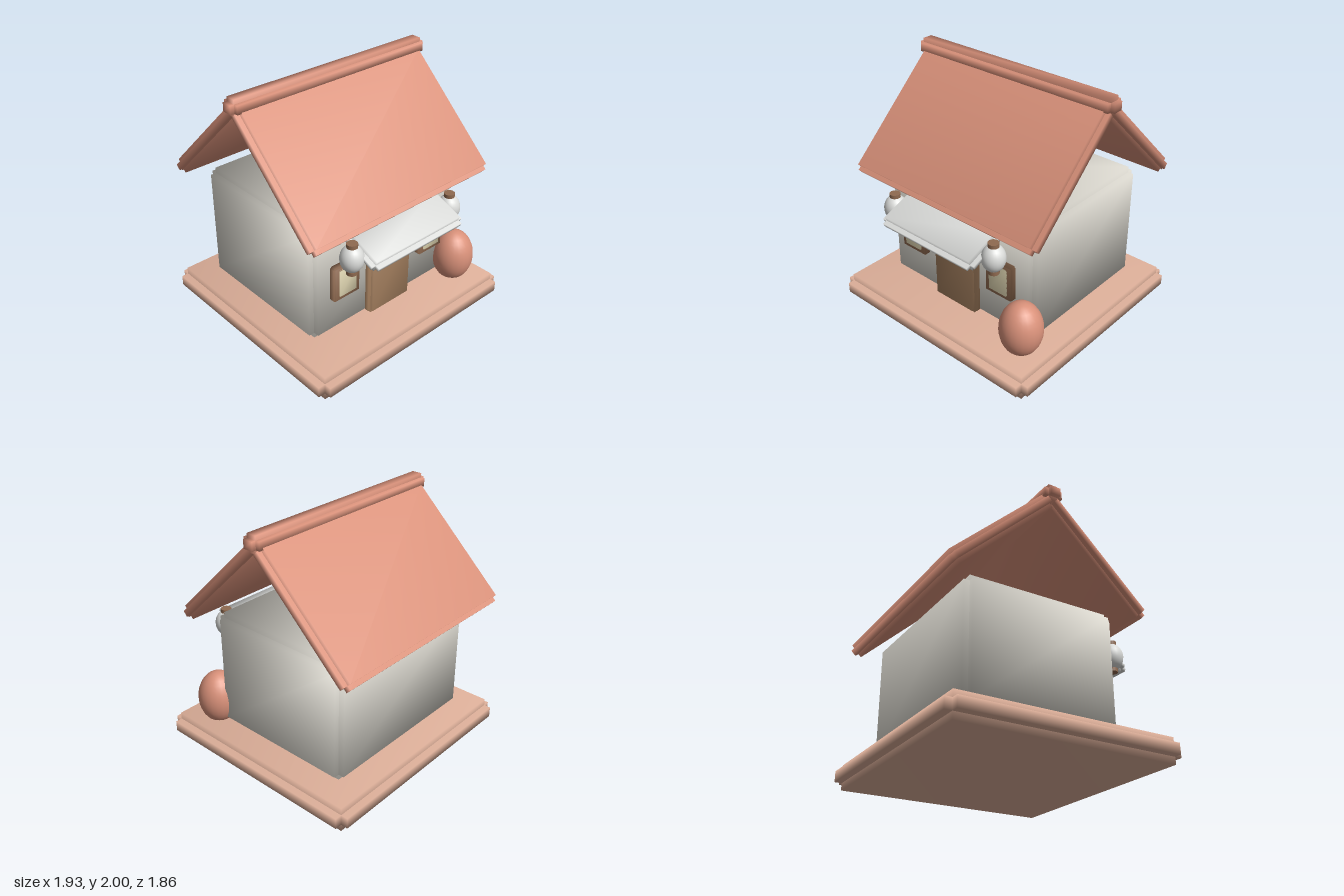
import * as THREE from 'three';
import { mergeGeometries, mergeVertices } from 'three/addons/utils/BufferGeometryUtils.js';

const mat = (name, color) => {
  const m = new THREE.MeshStandardMaterial({ color });
  m.name = name;
  return m;
};

// Box with eight shared corners, so its shading is soft
function softBox(w, h, d) {
  const g = new THREE.BoxGeometry(w, h, d);
  g.deleteAttribute('normal');
  g.deleteAttribute('uv');
  const soft = mergeVertices(g);
  soft.computeVertexNormals();
  return soft;
}

// Block with stepped edges: three crossing boxes, each full size along one axis
function steppedBlock(w, h, d, r) {
  const i = 2 * r;
  return mergeGeometries([
    softBox(w, h - i, d - i),
    softBox(w - i, h, d - i),
    softBox(w - i, h - i, d),
  ]);
}

export function createModel() {
  const house = new THREE.Group();
  house.name = 'house';

  const terracotta = mat('terracotta', 0xd9917a);
  const clay = mat('pale clay', 0xdeb09a);
  const plaster = mat('plaster', 0xdcd9d0);
  const paper = mat('pale grey', 0xdbdcda);
  const wood = mat('wood', 0xa07c5c);
  const darkWood = mat('dark wood', 0x8f6a50);
  const glass = mat('cream glass', 0xded4b0);

  const add = (name, geometry, material, x, y, z, parent = house) => {
    const mesh = new THREE.Mesh(geometry, material);
    mesh.name = name;
    mesh.position.set(x, y, z);
    parent.add(mesh);
    return mesh;
  };
  const ellipsoid = (rx, ry, rz) => new THREE.SphereGeometry(1, 24, 16).scale(rx, ry, rz);

  // Base and walls
  add('base', steppedBlock(1.934, 0.2, 1.856, 0.057), clay, 0, 0.1, 0);
  add('walls', steppedBlock(1.47, 0.966, 1.242, 0.046), plaster, 0, 0.682, -0.076);

  // Two roof slopes meeting under the ridge beam
  const pitch = THREE.MathUtils.degToRad(43.5);
  const slope = 1.113;
  const ridgeZ = -0.077;
  const slopeGeometry = steppedBlock(1.786, 0.12, slope, 0.035);
  for (const side of [1, -1]) {
    const panel = add(side > 0 ? 'frontRoof' : 'backRoof', slopeGeometry, terracotta, 0,
      1.9 - Math.sin(pitch) * slope / 2, ridgeZ + side * Math.cos(pitch) * slope / 2);
    panel.rotation.x = side * pitch;
  }
  add('ridgeBeam', steppedBlock(1.85, 0.133, 0.148, 0.033), terracotta, 0, 1.9335, -0.073);

  // Door and awning
  add('door', steppedBlock(0.43, 0.624, 0.1, 0.025), wood, 0, 0.527, 0.555);
  const awning = add('awning', steppedBlock(0.932, 0.1, 0.366, 0.036), paper, 0, 0.967, 0.72);
  awning.rotation.x = THREE.MathUtils.degToRad(22);

  // Windows and lanterns on both sides of the door
  const frame = steppedBlock(0.25, 0.292, 0.07, 0.01);
  const pane = steppedBlock(0.176, 0.234, 0.05, 0.008);
  const globe = ellipsoid(0.09, 0.108, 0.09);
  const cap = new THREE.CylinderGeometry(0.042, 0.042, 0.03, 16);
  for (const s of [1, -1]) {
    const label = s > 0 ? 'left' : 'right';
    const win = new THREE.Group();
    win.name = label + 'Window';
    add('windowFrame', frame, darkWood, s * 0.446, 0.66, 0.562, win);
    add('windowPane', pane, glass, s * 0.446, 0.663, 0.58, win);

    const lantern = new THREE.Group();
    lantern.name = label + 'Lantern';
    add('lanternGlobe', globe, paper, s * 0.503, 0.935, 0.7, lantern);
    add('lanternTopCap', cap, darkWood, s * 0.503, 1.046, 0.7, lantern);
    add('lanternBottomCap', cap, darkWood, s * 0.503, 0.822, 0.7, lantern);
    house.add(win, lantern);
  }

  // Round bush on the front left corner
  add('bush', ellipsoid(0.167, 0.222, 0.165), terracotta, 0.697, 0.372, 0.626);

  return house;
}
